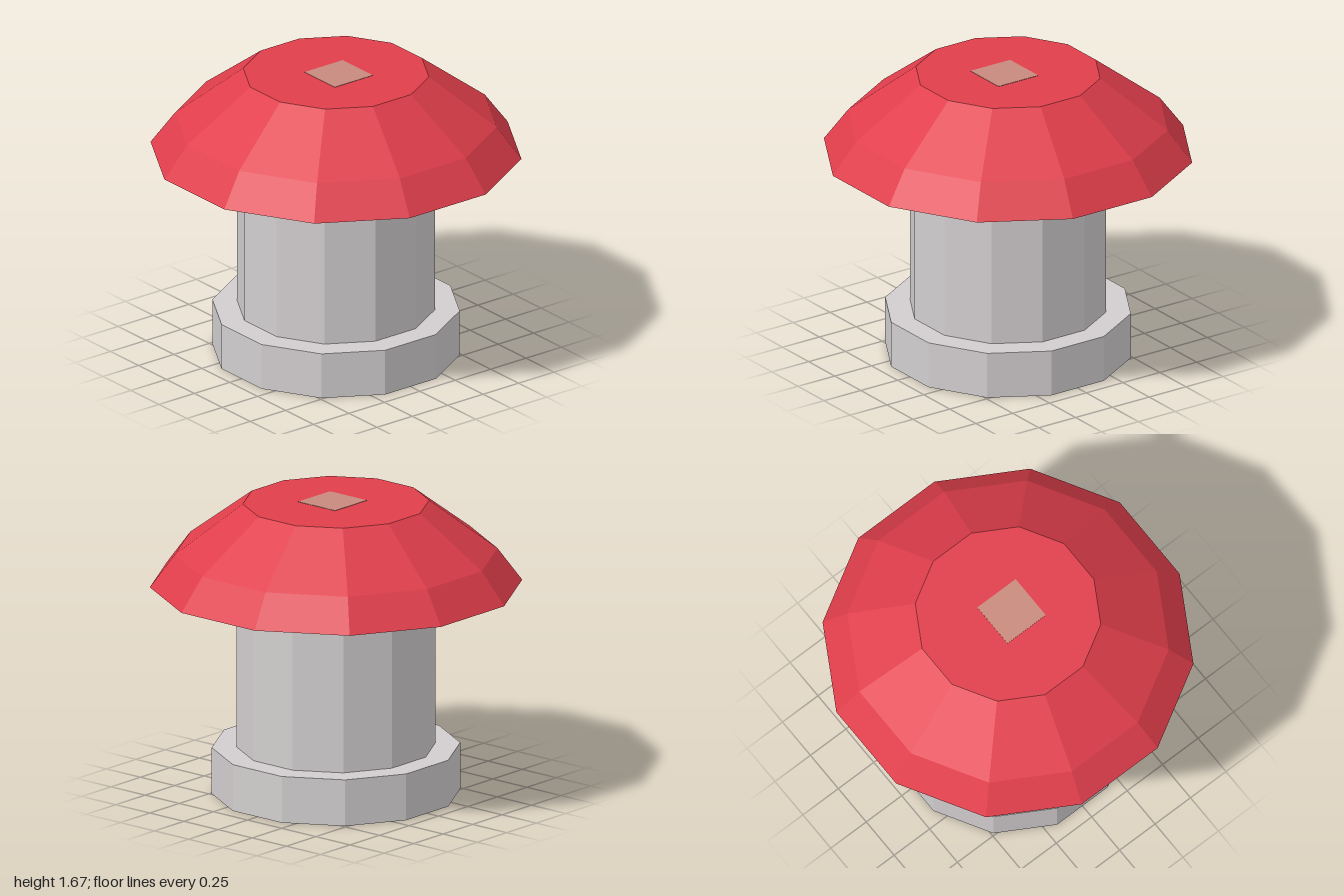
import * as THREE from 'three';

const SIDES = 12;
const TURN = Math.PI / SIDES; // puts a flat side on each axis

function material(name, color) {
  const m = new THREE.MeshStandardMaterial({ color, flatShading: true });
  m.name = name;
  return m;
}

export function createModel() {
  const group = new THREE.Group();
  const red = material('red', 0xe03e4b);
  const grey = material('light grey', 0xd2cecf);
  const slate = material('slate', 0x697589);
  const clay = material('clay', 0xc98a7e);

  const add = (name, geometry, mat) => {
    const mesh = new THREE.Mesh(geometry, mat);
    mesh.name = name;
    group.add(mesh);
    return mesh;
  };
  // twelve-sided drum, sized by its half width across the flats
  const drum = (name, half, y0, y1, mat) => {
    const r = half / Math.cos(TURN);
    const g = new THREE.CylinderGeometry(r, r, y1 - y0, SIDES, 1, false, TURN);
    add(name, g.translate(0, (y0 + y1) / 2, 0), mat);
  };

  // Base with a dark underside, and stem
  drum('base', 0.667, 0, 0.267, [grey, grey, slate]);
  drum('stem', 0.533, 0.267, 1.2, grey);

  // Faceted cap
  const profile = [[0, 1.2], [1.035, 1.2], [0.897, 1.385], [0.518, 1.67], [0, 1.67]]
    .map(([x, y]) => new THREE.Vector2(x, y));
  add('cap', new THREE.LatheGeometry(profile, SIDES, TURN), red);

  // Painted patch on the cap top
  add('capTopPatch', new THREE.BoxGeometry(0.27, 0.004, 0.27).translate(0, 1.67, 0.025), clay);

  // Painted patches under the cap: x0, x1, z0, z1
  [
    [0.63, 0.76, 0.01, 0.38], [0.34, 0.64, 0.36, 0.48],
    [0.28, 0.41, -0.85, -0.47],
    [0.0, 0.16, -0.86, -0.6], [-0.13, 0.0, -0.72, -0.52],
  ].forEach(([x0, x1, z0, z1]) => {
    const g = new THREE.BoxGeometry(x1 - x0, 0.004, z1 - z0);
    add('capUndersidePatch', g.translate((x0 + x1) / 2, 1.2, (z0 + z1) / 2), clay);
  });

  // Painted patches at the top of the stem: side angle, start, end, height
  [
    [0, -0.06, 0.04, 0.03], [30, 0.04, 0.143, 0.045], [60, -0.143, -0.04, 0.045],
    [90, 0.07, 0.143, 0.045], [120, -0.143, 0.03, 0.045],
    [180, 0.04, 0.13, 0.03], [300, -0.07, -0.02, 0.03],
  ].forEach(([angle, u0, u1, h]) => {
    const g = new THREE.BoxGeometry(u1 - u0, h, 0.004);
    g.translate((u0 + u1) / 2, 1.2 - h / 2, 0.533);
    add('stemPatch', g.rotateY(THREE.MathUtils.degToRad(angle)), slate);
  });

  return group;
}
